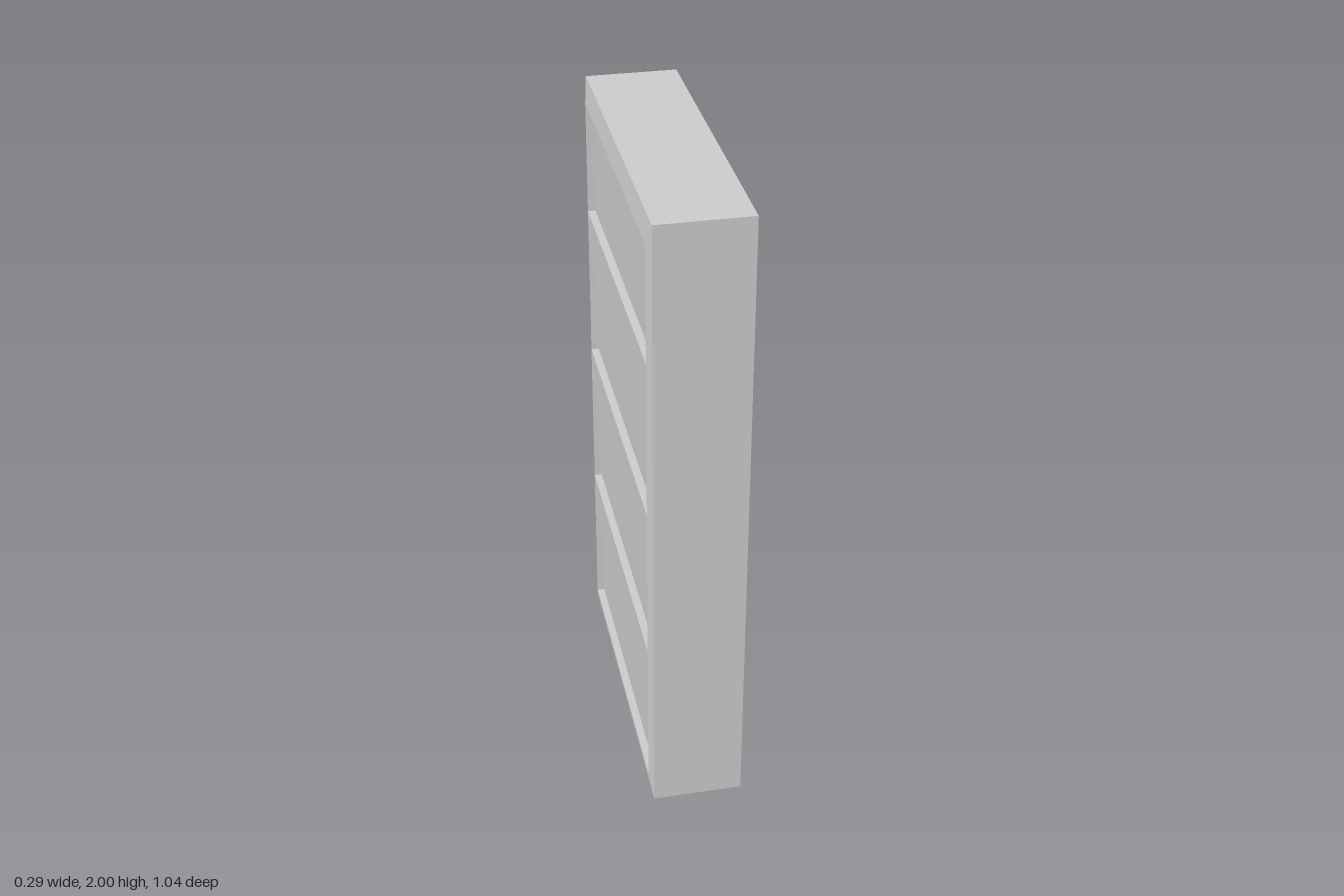
import * as THREE from 'three';

const HALF_Y = 1, HALF_Z = 0.522;       // outer half height and half depth
const IN_Y = 0.93, IN_Z = 0.482;        // inner opening of the bevelled border
const BACK = 0.145, EDGE = -0.135, FACE = -0.145, FLOOR = -0.121; // x levels
const ROWS = 4, RAIL = 0.14;

// Rectangle of corners at a given x, counter-clockwise as seen from -x
function ring(x, hy, hz) {
  return [[-1, -1], [1, -1], [1, 1], [-1, 1]].map(([sz, sy]) => [x, HALF_Y + sy * hy, sz * hz]);
}

// Skins a row of rectangles with flat quads and closes both ends
function loft(rings) {
  const pos = [];
  const quad = (a, b, c, d) => pos.push(...a, ...b, ...c, ...a, ...c, ...d);
  for (let r = 0; r < rings.length - 1; r++) {
    const a = rings[r], b = rings[r + 1];
    for (let i = 0; i < 4; i++) {
      const j = (i + 1) % 4;
      quad(a[i], a[j], b[j], b[i]);
    }
  }
  quad(...[...rings[0]].reverse());
  quad(...rings[rings.length - 1]);
  const geo = new THREE.BufferGeometry();
  geo.setAttribute('position', new THREE.Float32BufferAttribute(pos, 3));
  geo.computeVertexNormals();
  return geo;
}

export function createModel() {
  const group = new THREE.Group();
  group.name = 'panelledSlab';
  const material = new THREE.MeshStandardMaterial({ color: 0xcccccc, flatShading: true });

  // Slab with a sloped border and a sunken field on the -x side
  const body = new THREE.Mesh(loft([
    ring(BACK, HALF_Y, HALF_Z),
    ring(EDGE, HALF_Y, HALF_Z),
    ring(FACE, IN_Y, IN_Z),
    ring(FLOOR, IN_Y, IN_Z),
  ]), material);
  body.name = 'body';
  group.add(body);

  // Rails dividing the sunken field into four panels
  const railGeo = new THREE.BoxGeometry(FLOOR - FACE, RAIL, IN_Z * 2);
  for (let i = 1; i < ROWS; i++) {
    const rail = new THREE.Mesh(railGeo, material);
    rail.name = 'rail' + i;
    rail.position.set((FACE + FLOOR) / 2, (2 * HALF_Y * i) / ROWS, 0);
    group.add(rail);
  }
  return group;
}
